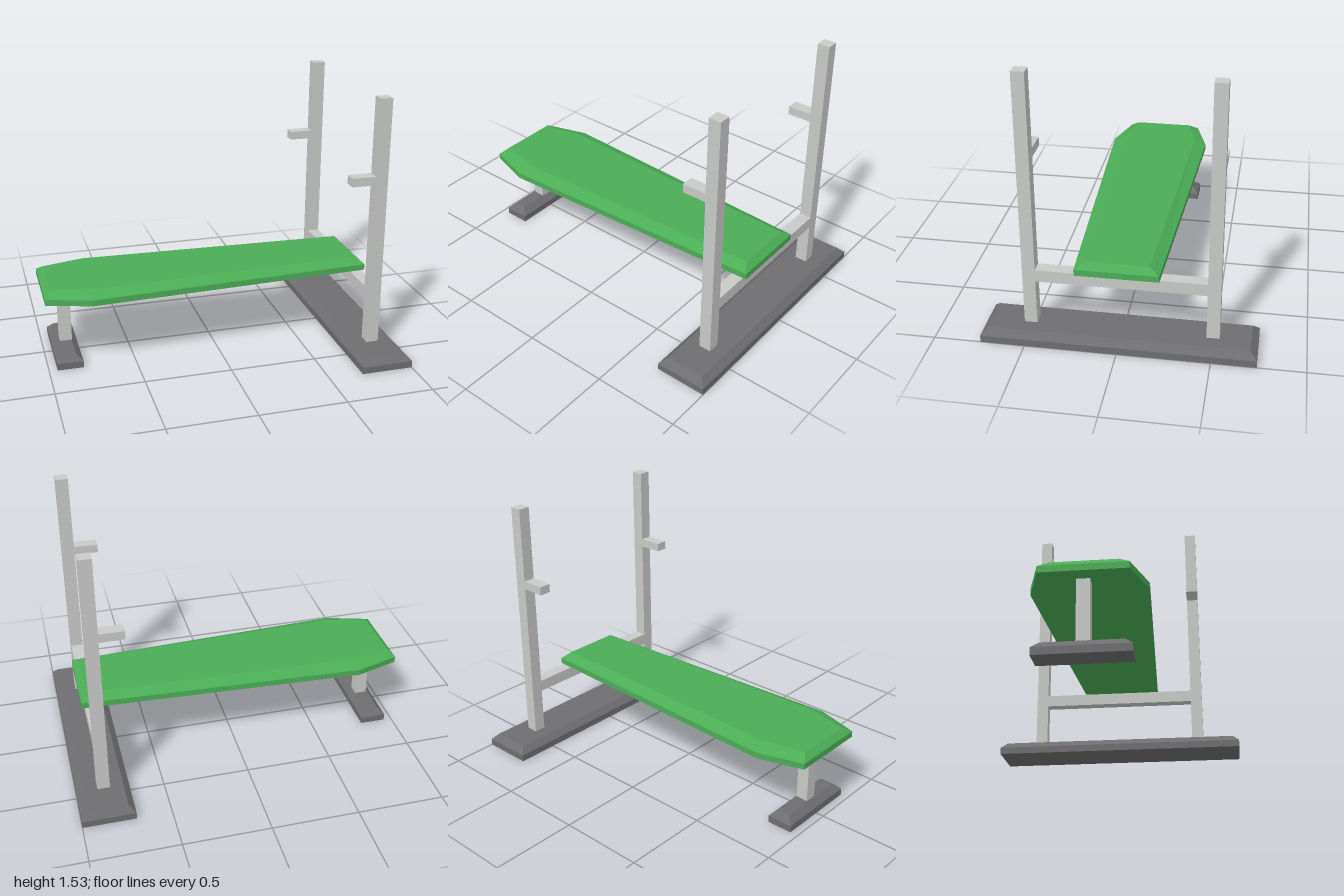
import * as THREE from 'three';

const frameGrey = new THREE.MeshStandardMaterial({ color: 0xc8cac8 });
frameGrey.name = 'frame light grey';
const footGrey = new THREE.MeshStandardMaterial({ color: 0x6e6d70 });
footGrey.name = 'foot dark grey';
const padGreen = new THREE.MeshStandardMaterial({ color: 0x4bad56 });
padGreen.name = 'pad green';

// Slab with a bevelled top: outlines are [x, z] lists, counter-clockwise from above
function bevelledSlab(name, outer, inner, [y0, y1, y2], material) {
  const rings = [[outer, y0], [outer, y1], [inner, y2]].map(([ring, y]) => ring.map(([x, z]) => [x, y, z]));
  const n = outer.length;
  const pos = [];
  const tri = (a, b, c) => pos.push(...a, ...b, ...c);
  for (let r = 0; r < 2; r++) {
    for (let i = 0; i < n; i++) {
      const j = (i + 1) % n;
      const [low, high] = [rings[r], rings[r + 1]];
      tri(low[i], low[j], high[j]);
      tri(low[i], high[j], high[i]);
    }
  }
  for (let i = 1; i < n - 1; i++) {
    tri(rings[2][0], rings[2][i], rings[2][i + 1]);
    tri(rings[0][0], rings[0][i + 1], rings[0][i]);
  }
  const geometry = new THREE.BufferGeometry();
  geometry.setAttribute('position', new THREE.Float32BufferAttribute(pos, 3));
  geometry.computeVertexNormals();
  const mesh = new THREE.Mesh(geometry, material);
  mesh.name = name;
  return mesh;
}

// Box given by its lower and upper limits on each axis
function bar(name, [x0, x1], [y0, y1], [z0, z1]) {
  const mesh = new THREE.Mesh(new THREE.BoxGeometry(x1 - x0, y1 - y0, z1 - z0), frameGrey);
  mesh.position.set((x0 + x1) / 2, (y0 + y1) / 2, (z0 + z1) / 2);
  mesh.name = name;
  return mesh;
}

const rectangle = (x0, x1, z0, z1) => [[x0, z0], [x0, z1], [x1, z1], [x1, z0]];

// Tapered six-sided pad outline around its centre line
function padOutline(xEnd, xWide, xHead, endHalf, wideHalf) {
  const z = 0.012;
  return [
    [xEnd, z - endHalf], [xEnd, z + endHalf], [xWide, z + wideHalf],
    [xHead, z + endHalf], [xHead, z - endHalf], [xWide, z - wideHalf],
  ];
}

export function createModel() {
  const model = new THREE.Group();
  model.name = 'weightBench';

  // Feet
  const foot = (name, x0, x1, z0, z1) => bevelledSlab(name,
    rectangle(x0, x1, z0, z1),
    rectangle(x0 + 0.037, x1 - 0.037, z0 + 0.037, z1 - 0.037),
    [0, 0.04, 0.077], footGrey);
  model.add(foot('rackFoot', 0.7, 1, -0.742, 0.742));
  model.add(foot('benchFoot', -0.953, -0.803, -0.245, 0.245));

  // Rack uprights with bar hooks, joined by a cross beam
  [['left', 0.453, 0.523], ['right', -0.537, -0.467]].forEach(([side, z0, z1]) => {
    model.add(bar(side + 'Upright', [0.813, 0.884], [0.07, 1.527], [z0, z1]));
    model.add(bar(side + 'BarHook', [0.674, 0.813], [1.04, 1.09], [z0, z1]));
  });
  model.add(bar('crossBeam', [0.813, 0.884], [0.338, 0.407], [-0.467, 0.453]));

  // Bench leg
  model.add(bar('benchLeg', [-0.908, -0.838], [0.07, 0.409], [-0.034, 0.036]));

  // Bench pad
  model.add(bevelledSlab('benchPad',
    padOutline(-1, -0.745, 0.904, 0.227, 0.305),
    padOutline(-0.964, -0.715, 0.868, 0.173, 0.231),
    [0.408, 0.443, 0.477], padGreen));

  return model;
}
